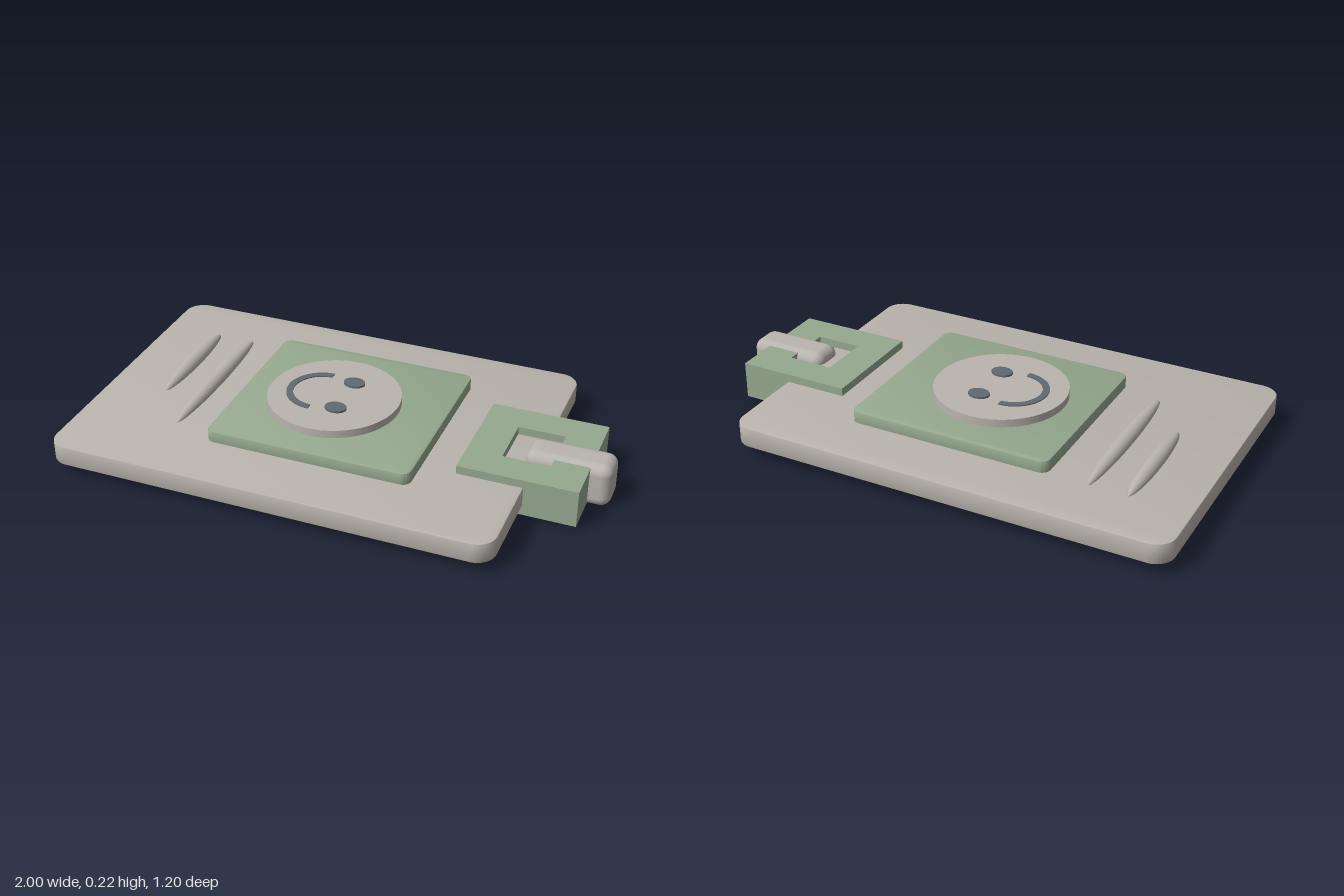
import * as THREE from 'three';
import { toCreasedNormals } from 'three/addons/utils/BufferGeometryUtils.js';
import { RoundedBoxGeometry } from 'three/addons/geometries/RoundedBoxGeometry.js';

function material(name, color) {
  const m = new THREE.MeshStandardMaterial({ color });
  m.name = name;
  return m;
}

// Rectangle outline with rounded corners, centred on the origin
function roundedRect(w, d, r) {
  const x = w / 2, y = d / 2, s = new THREE.Shape();
  s.absarc(x - r, y - r, r, 0, Math.PI / 2);
  s.absarc(-x + r, y - r, r, Math.PI / 2, Math.PI);
  s.absarc(-x + r, -y + r, r, Math.PI, Math.PI * 1.5);
  s.absarc(x - r, -y + r, r, Math.PI * 1.5, Math.PI * 2);
  s.closePath();
  return s;
}

// Flat slab lying in xz from y0 to y1, with an optional softened edge
function slab(shape, y0, y1, bevel = 0) {
  const g = new THREE.ExtrudeGeometry(shape, {
    depth: y1 - y0 - 2 * bevel, curveSegments: 10, bevelEnabled: bevel > 0,
    bevelThickness: bevel, bevelSize: bevel, bevelOffset: -bevel, bevelSegments: 2,
  });
  g.rotateX(-Math.PI / 2).translate(0, y0 + bevel, 0);
  return toCreasedNormals(g, 0.6);
}

export function createModel() {
  const group = new THREE.Group();
  group.name = 'badge';
  const grey = material('warmGrey', 0xbab4ae);
  const green = material('sageGreen', 0x96a98f);
  const dark = material('slate', 0x5f6a70);

  const add = (name, geometry, mat, x = 0, y = 0, z = 0) => {
    const mesh = new THREE.Mesh(geometry, mat);
    mesh.name = name;
    mesh.position.set(x, y, z);
    group.add(mesh);
    return mesh;
  };

  // Card and portrait panel
  add('card', slab(roundedRect(1.72, 1.2, 0.075), 0.05, 0.13, 0.005), grey, -0.14);
  add('portraitPanel', slab(roundedRect(0.8, 0.742, 0.035), 0.11, 0.176, 0.006), green, -0.06, 0, -0.006);

  // Face disc
  add('faceDisc', new THREE.CylinderGeometry(0.257, 0.257, 0.05, 64), grey, -0.093, 0.182, 0);

  // Eyes
  for (const z of [-0.099, 0.092]) {
    const eye = add('eye', new THREE.CylinderGeometry(1, 1, 0.014, 32), dark, -0.05, 0.208, z);
    eye.scale.set(0.042, 1, 0.034);
  }

  // Smile: a half ring opening towards the eyes
  const smile = new THREE.Shape();
  smile.absarc(0, 0, 0.134, Math.PI / 2, Math.PI * 1.5, false);
  smile.absarc(0, 0, 0.108, Math.PI * 1.5, Math.PI / 2, true);
  smile.closePath();
  add('smile', slab(smile, 0.2, 0.211), dark, -0.147, 0, -0.001);

  // Raised writing lines: long half-buried ellipsoids
  for (const [x, z0, z1] of [[-0.765, -0.375, 0.103], [-0.615, -0.375, 0.295]]) {
    const line = add('writingLine', new THREE.SphereGeometry(1, 24, 24), grey, x, 0.13, (z0 + z1) / 2);
    line.scale.set(0.031, 0.032, (z1 - z0) / 2);
  }

  // Clip frame with a square opening
  const frame = new THREE.Shape();
  frame.moveTo(0.47, -0.225).lineTo(0.92, -0.225).lineTo(0.92, 0.23).lineTo(0.47, 0.23).closePath();
  const hole = new THREE.Path();
  hole.moveTo(0.605, -0.102).lineTo(0.605, 0.106).lineTo(0.785, 0.106).lineTo(0.785, -0.102).closePath();
  frame.holes.push(hole);
  add('clipFrame', slab(frame, 0.015, 0.162), green);

  // Strap loop wrapped around the outer bar of the frame
  add('strapLoop', new RoundedBoxGeometry(0.325, 0.174, 0.14, 5, 0.04), grey, 0.8375, 0.087, 0);

  return group;
}
